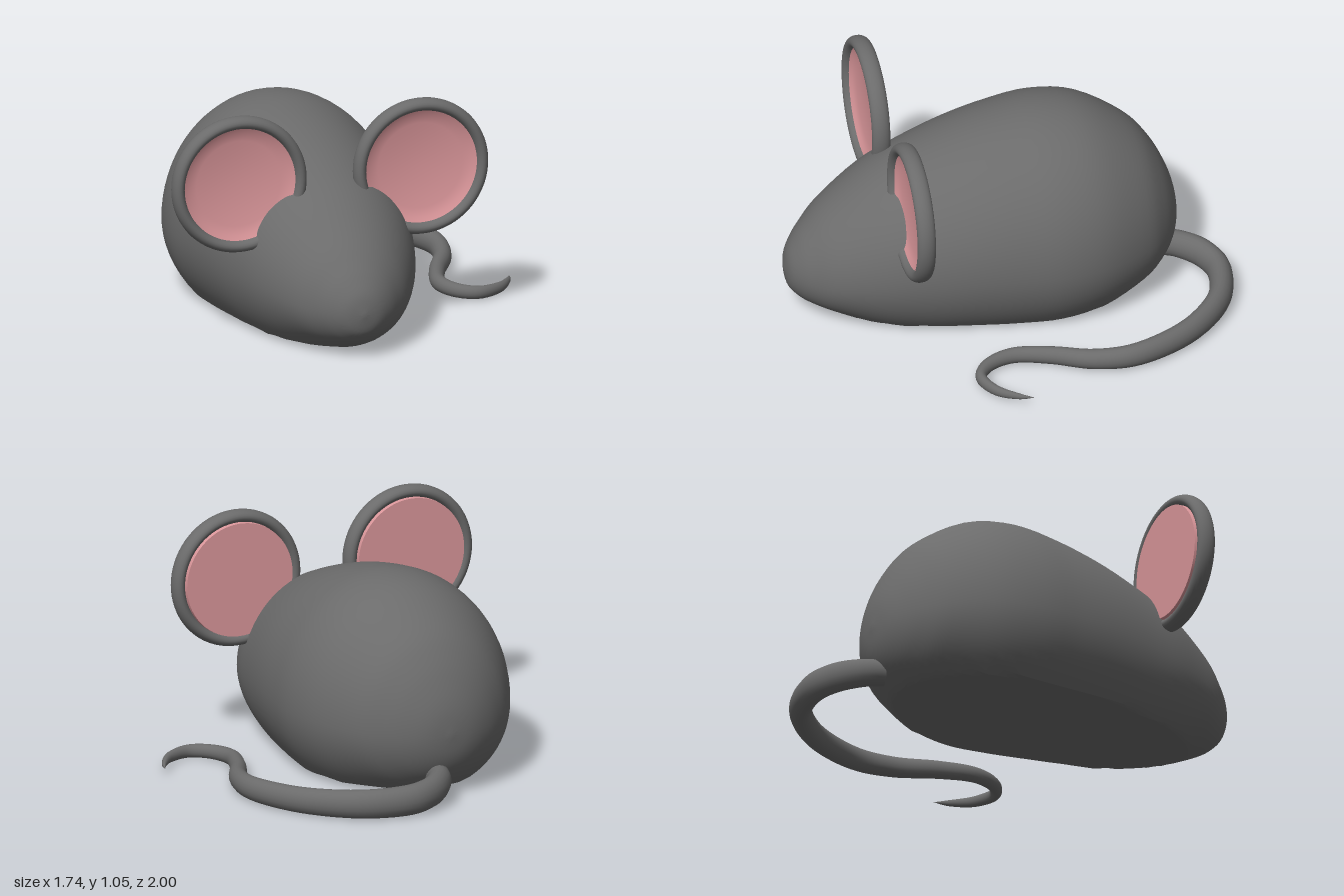
import * as THREE from 'three';
import { mergeVertices, toCreasedNormals } from 'three/addons/utils/BufferGeometryUtils.js';

const FLOOR = 0.015;

// Skins a series of closed rings of points
function loft(rings) {
  const n = rings[0].length;
  const index = [];
  for (let i = 0; i < rings.length - 1; i++) {
    for (let j = 0; j < n; j++) {
      const a = i * n + j, b = i * n + (j + 1) % n;
      index.push(a, a + n, b, b, a + n, b + n);
    }
  }
  const geo = new THREE.BufferGeometry();
  geo.setAttribute('position', new THREE.Float32BufferAttribute(rings.flat(2), 3));
  geo.setIndex(index);
  return mergeVertices(geo, 1e-5);
}

const spline = (rows, a, b) =>
  new THREE.SplineCurve(rows.map((r) => new THREE.Vector2(r[a], r[b])));

function bodyGeometry() {
  // z, half width, top, height of widest point, bottom before flattening
  const rows = [
    [1.0, 0, 0.22, 0.22, 0.22],
    [0.985, 0.075, 0.3, 0.22, 0.14],
    [0.95, 0.135, 0.365, 0.225, 0.095],
    [0.9, 0.19, 0.43, 0.23, 0.06],
    [0.8, 0.275, 0.53, 0.245, 0.015],
    [0.6, 0.375, 0.675, 0.28, -0.07],
    [0.4, 0.435, 0.765, 0.3, -0.12],
    [0.2, 0.48, 0.835, 0.32, -0.14],
    [0, 0.51, 0.885, 0.32, -0.15],
    [-0.2, 0.525, 0.91, 0.32, -0.15],
    [-0.4, 0.49, 0.875, 0.32, -0.11],
    [-0.6, 0.385, 0.75, 0.31, -0.02],
    [-0.7, 0.285, 0.63, 0.305, 0.05],
    [-0.76, 0.19, 0.51, 0.3, 0.12],
    [-0.793, 0.1, 0.405, 0.3, 0.2],
    [-0.805, 0, 0.3, 0.3, 0.3],
  ];
  const width = spline(rows, 0, 1), heights = spline(rows, 2, 4), mids = spline(rows, 0, 3);
  const rings = [];
  const steps = (rows.length - 1) * 4, sides = 72;
  for (let i = 0; i <= steps; i++) {
    const t = i / steps;
    const { x: z, y: w } = width.getPoint(t);
    const { x: top, y: bottom } = heights.getPoint(t);
    const mid = mids.getPoint(t).y;
    const ring = [];
    for (let j = 0; j < sides; j++) {
      const a = (j / sides) * Math.PI * 2, s = Math.sin(a);
      const y = mid + s * (s > 0 ? top - mid : mid - bottom);
      ring.push([-0.125 + w * Math.cos(a), Math.max(y, FLOOR), z]);
    }
    rings.push(ring);
  }
  return toCreasedNormals(loft(rings), 0.5);
}

function tailGeometry() {
  // x, z, horizontal radius, vertical radius, centre height
  const rows = [
    [-0.09, -0.72, 0.055, 0.06, 0.1],
    [-0.06, -0.81, 0.055, 0.065, 0.095],
    [0.03, -0.905, 0.055, 0.07, 0.085],
    [0.17, -0.945, 0.055, 0.07, 0.075],
    [0.38, -0.885, 0.052, 0.066, 0.07],
    [0.57, -0.7, 0.049, 0.06, 0.064],
    [0.68, -0.45, 0.046, 0.055, 0.06],
    [0.665, -0.25, 0.042, 0.048, 0.053],
    [0.58, -0.07, 0.037, 0.042, 0.046],
    [0.533, 0.09, 0.033, 0.037, 0.041],
    [0.57, 0.215, 0.03, 0.033, 0.038],
    [0.66, 0.277, 0.025, 0.03, 0.036],
    [0.77, 0.235, 0.02, 0.025, 0.035],
    [0.84, 0.15, 0.012, 0.015, 0.036],
    [0.87, 0.08, 0, 0, 0.037],
  ];
  const path = spline(rows, 0, 1), radii = spline(rows, 2, 3), heights = spline(rows, 0, 4);
  const rings = [];
  const steps = (rows.length - 1) * 6, sides = 20;
  for (let i = 0; i <= steps; i++) {
    const t = i / steps;
    const p = path.getPoint(t), dir = path.getTangent(t), r = radii.getPoint(t);
    const h = heights.getPoint(t).y;
    const ring = [];
    for (let j = 0; j < sides; j++) {
      const a = (j / sides) * Math.PI * 2;
      const side = Math.max(r.x, 0) * Math.cos(a);
      ring.push([p.x - dir.y * side, h + Math.max(r.y, 0) * Math.sin(a), p.y + dir.x * side]);
    }
    rings.push(ring);
  }
  const geo = loft(rings);
  geo.computeVertexNormals();
  return geo;
}

export function createModel() {
  const fur = new THREE.MeshStandardMaterial({ color: 0x6b6b6b });
  fur.name = 'grey fur';
  const skin = new THREE.MeshStandardMaterial({ color: 0xdb979b });
  skin.name = 'pink inner ear';

  const model = new THREE.Group();
  model.name = 'mouse';
  const add = (parent, name, geo, mat) => {
    const mesh = new THREE.Mesh(geo, mat);
    mesh.name = name;
    parent.add(mesh);
    return mesh;
  };

  add(model, 'body', bodyGeometry(), fur);
  add(model, 'tail', tailGeometry(), fur);

  // Ears: rounded rim around a dished pink disc with a flat back
  const rim = new THREE.TorusGeometry(0.289, 0.029, 20, 72).scale(1, 1, 1.46);
  const profile = [
    [0, -0.044], [0.264, -0.044], [0.267, 0.018], [0.24, 0.004], [0.2, -0.006], [0, -0.01],
  ].map(([r, h]) => new THREE.Vector2(r, h));
  const dish = toCreasedNormals(new THREE.LatheGeometry(profile, 72).rotateX(Math.PI / 2), 0.7);
  for (const side of [-1, 1]) {
    const ear = new THREE.Group();
    ear.name = side < 0 ? 'rightEar' : 'leftEar';
    ear.position.set(-0.126 + side * 0.43, 0.738, 0.512);
    add(ear, 'earRim', rim, fur);
    add(ear, 'innerEar', dish, skin);
    model.add(ear);
  }
  return model;
}
